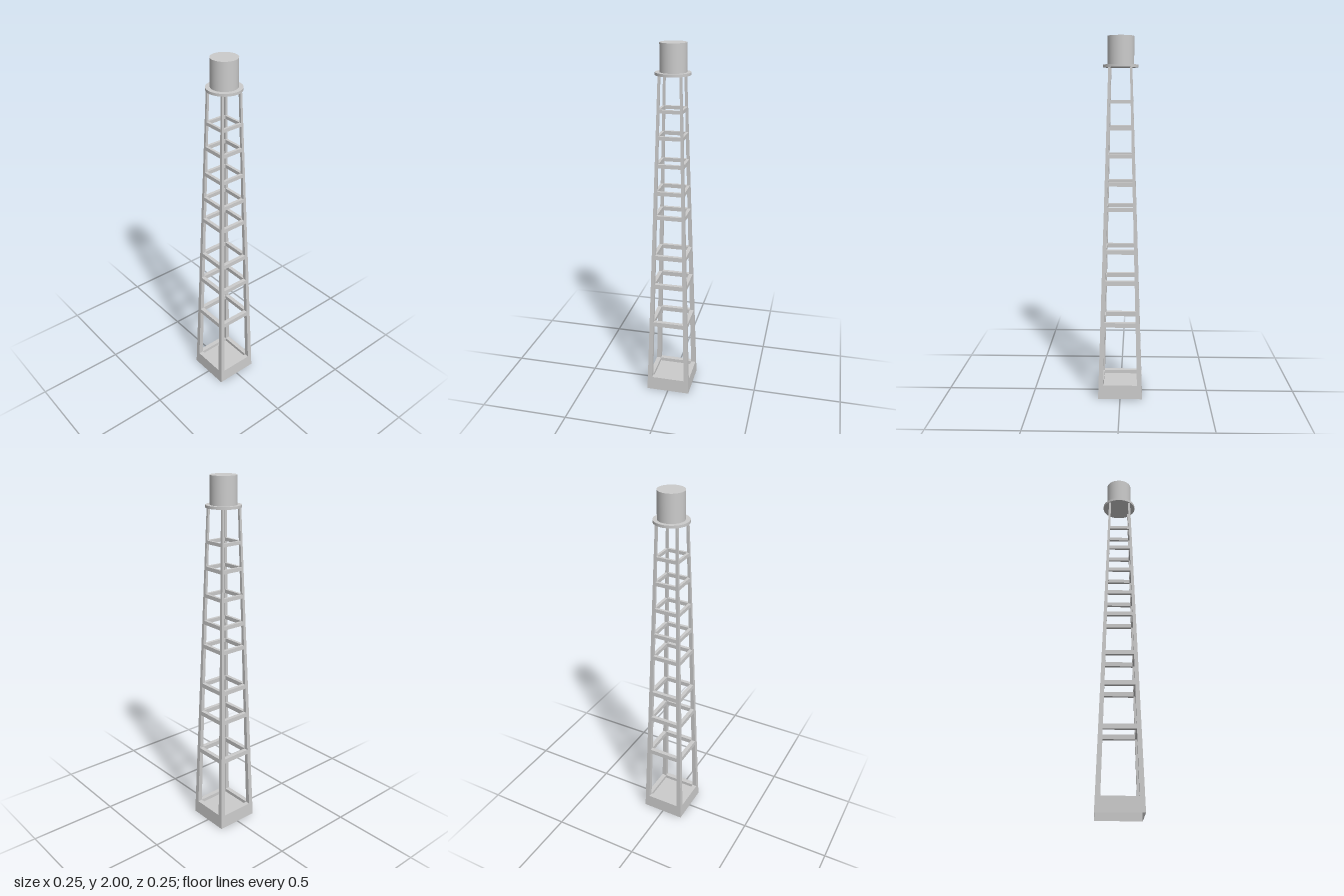
import * as THREE from 'three';

const flat = new THREE.MeshStandardMaterial({ color: 0xcccccc, flatShading: true });
const flatOpen = new THREE.MeshStandardMaterial({ color: 0xcccccc, flatShading: true, side: THREE.DoubleSide });
const smooth = new THREE.MeshStandardMaterial({ color: 0xcccccc });

// half widths of the tower's outer and inner faces at height y
const outer = (y) => 0.1245 - 0.0335 * y;
const inner = (y) => 0.0975 - 0.0255 * y;

const BASE_TOP = 0.08;
const LEG_TOP = 1.842;

function add(group, name, geometry, material) {
  const mesh = new THREE.Mesh(geometry, material);
  mesh.name = name;
  group.add(mesh);
  return mesh;
}

// sweeps a [halfWidth, y] profile around a square
function squareSweep(profile) {
  const points = profile.map(([half, y]) => new THREE.Vector2(half * Math.SQRT2, y));
  return new THREE.LatheGeometry(points, 4, Math.PI / 4);
}

// tapered corner post that leans towards the middle
function legGeometry(sx, sz) {
  const geometry = new THREE.BoxGeometry(1, 1, 1);
  const p = geometry.attributes.position;
  for (let i = 0; i < p.count; i++) {
    const y = p.getY(i) > 0 ? LEG_TOP : BASE_TOP;
    const x = p.getX(i) * sx > 0 ? outer(y) : inner(y);
    const z = p.getZ(i) * sz > 0 ? outer(y) : inner(y);
    p.setXYZ(i, x * sx, y, z * sz);
  }
  geometry.computeVertexNormals();
  return geometry;
}

export function createModel() {
  const tower = new THREE.Group();
  tower.name = 'tower';

  // base: hollow below, with a rim and a sunken floor
  add(tower, 'base', squareSweep([
    [outer(0), 0],
    [outer(BASE_TOP), BASE_TOP],
    [inner(BASE_TOP), BASE_TOP],
    [inner(BASE_TOP), 0.06],
    [0, 0.06],
  ]), flatOpen);

  // four corner legs
  for (const sx of [-1, 1]) {
    for (const sz of [-1, 1]) {
      add(tower, `${sz > 0 ? 'front' : 'back'}${sx > 0 ? 'Left' : 'Right'}Leg`, legGeometry(sx, sz), flat);
    }
  }

  // square brace rings, [middle height, thickness]
  const braces = [
    [0.432, 0.026], [0.671, 0.025], [0.846, 0.024], [1.081, 0.022],
    [1.218, 0.021], [1.369, 0.02], [1.519, 0.02], [1.658, 0.018],
  ];
  braces.forEach(([y, t], i) => {
    const low = y - t / 2;
    const high = y + t / 2;
    add(tower, `braceRing${i + 1}`, squareSweep([
      [inner(low), low],
      [outer(low), low],
      [outer(high), high],
      [inner(high), high],
      [inner(low), low],
    ]), flat);
  });

  // round platform and the drum standing on it
  const platform = add(tower, 'platform', new THREE.CylinderGeometry(0.094, 0.094, 0.014, 48), smooth);
  platform.position.set(-0.001, 1.845, -0.003);
  const drum = add(tower, 'drum', new THREE.CylinderGeometry(0.071, 0.071, 0.148, 48), smooth);
  drum.position.set(-0.002, 1.926, -0.004);

  return tower;
}
